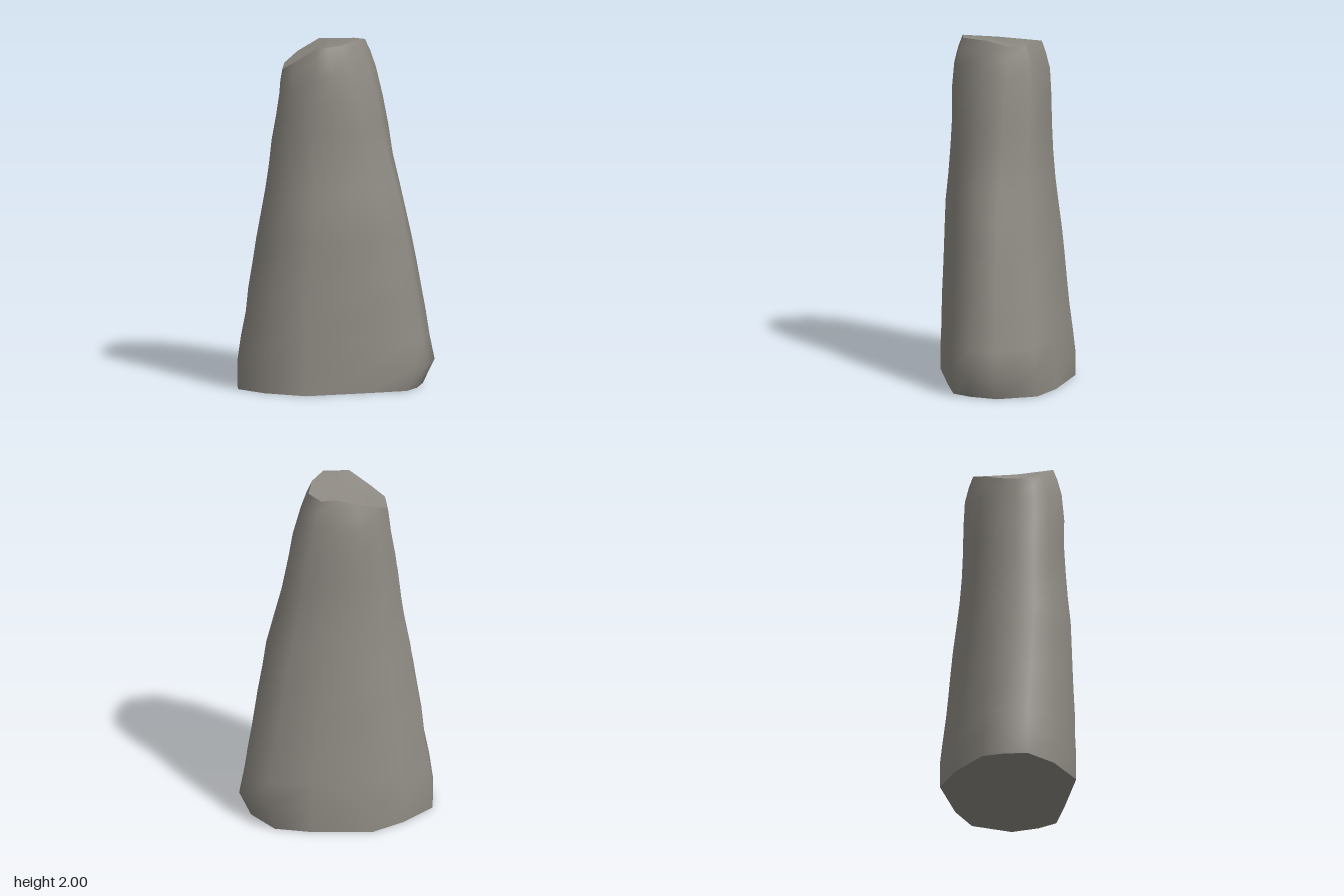
import * as THREE from 'three';

// Vertical ridges of the stone, counter-clockwise from the front:
// low [x, z], waist [x, z], rim [x, y, z]
const RIDGES = [
  [[-0.15, 0.39], [-0.12, 0.35], [-0.10, 1.97, 0.25]],
  [[0.20, 0.27], [0.10, 0.285], [-0.03, 1.98, 0.23]],
  [[0.47, 0.19], [0.30, 0.20], [0.05, 1.99, 0.215]],
  [[0.53, 0.08], [0.385, 0.08], [0.13, 2.00, 0.06]],
  [[0.56, -0.08], [0.40, -0.06], [0.165, 1.98, -0.07]],
  [[0.43, -0.29], [0.29, -0.22], [0.10, 1.97, -0.165]],
  [[0.18, -0.355], [0.10, -0.26], [0.02, 1.97, -0.155]],
  [[-0.17, -0.39], [-0.14, -0.30], [-0.10, 1.96, -0.21]],
  [[-0.36, -0.27], [-0.28, -0.19], [-0.22, 1.90, -0.12]],
  [[-0.54, -0.09], [-0.415, -0.055], [-0.29, 1.85, -0.02]],
  [[-0.555, 0.03], [-0.42, 0.08], [-0.295, 1.84, 0.06]],
  [[-0.545, 0.17], [-0.41, 0.19], [-0.295, 1.84, 0.15]],
  [[-0.39, 0.30], [-0.28, 0.28], [-0.22, 1.89, 0.20]],
];
const LOW = 0.14, WAIST = 1.0, STEPS = 6;

function seeded(seed) {
  return () => (seed = (seed * 16807) % 2147483647) / 2147483647 - 0.5;
}

// Points of one ridge from the ground to the rim
function ridgePoints([low, waist, rim], rand) {
  const { lerp } = THREE.MathUtils;
  const foot = low[0] > 0.3 ? 0.88 : 1;
  const points = [new THREE.Vector3(low[0] * foot, 0, low[1])];
  for (let i = 0; i < STEPS; i++) {
    const t = i / STEPS, chip = 1 + 0.02 * rand();
    points.push(new THREE.Vector3(
      lerp(low[0], waist[0], t) * (i ? chip : 1), lerp(LOW, WAIST, t), lerp(low[1], waist[1], t) * (i ? chip : 1)));
  }
  for (let i = 0; i <= STEPS + 1; i++) {
    // extra row close to the rim keeps the shoulder full
    const t = i === STEPS + 1 ? 1 : i === STEPS ? 0.93 : i / STEPS;
    const full = 1 + 1.6 * t ** 4 * (1 - t);
    const chip = t === 1 ? 1 : 1 + 0.025 * rand();
    const x = lerp(waist[0], rim[0], t), z = lerp(waist[1], rim[2], t);
    points.push(new THREE.Vector3(x * chip * (x > 0 ? full : 1), lerp(WAIST, rim[1], t), z * chip * full));
  }
  return points;
}

function geometryFrom(points, index) {
  const geometry = new THREE.BufferGeometry().setFromPoints(points);
  geometry.setIndex(index);
  geometry.computeVertexNormals();
  return geometry;
}

// Fan that closes a loop of points
function capGeometry(loop, center, up) {
  const index = [];
  loop.forEach((_, i) => {
    const j = (i + 1) % loop.length;
    index.push(loop.length, ...(up ? [i, j] : [j, i]));
  });
  return geometryFrom([...loop, center], index);
}

export function createModel() {
  const group = new THREE.Group();
  group.name = 'standingStone';
  const stone = new THREE.MeshStandardMaterial({ color: 0x8f8b84 });
  stone.name = 'grey stone';

  const rand = seeded(41);
  const columns = RIDGES.map((ridge) => ridgePoints(ridge, rand));
  const rows = columns[0].length;

  // Weathered sides
  const index = [];
  columns.forEach((_, c) => {
    const a = c * rows, b = ((c + 1) % columns.length) * rows;
    for (let r = 0; r < rows - 1; r++) {
      index.push(a + r, b + r, b + r + 1, a + r, b + r + 1, a + r + 1);
    }
  });
  const add = (name, geometry) => {
    const mesh = new THREE.Mesh(geometry, stone);
    mesh.name = name;
    group.add(mesh);
  };
  add('stoneSides', geometryFrom(columns.flat(), index));

  // Sloping top and flat underside
  add('stoneTop', capGeometry(columns.map((c) => c[rows - 1]), new THREE.Vector3(-0.04, 1.985, 0.03), true));
  add('stoneBase', capGeometry(columns.map((c) => c[0]), new THREE.Vector3(0, 0, 0), false));
  return group;
}
